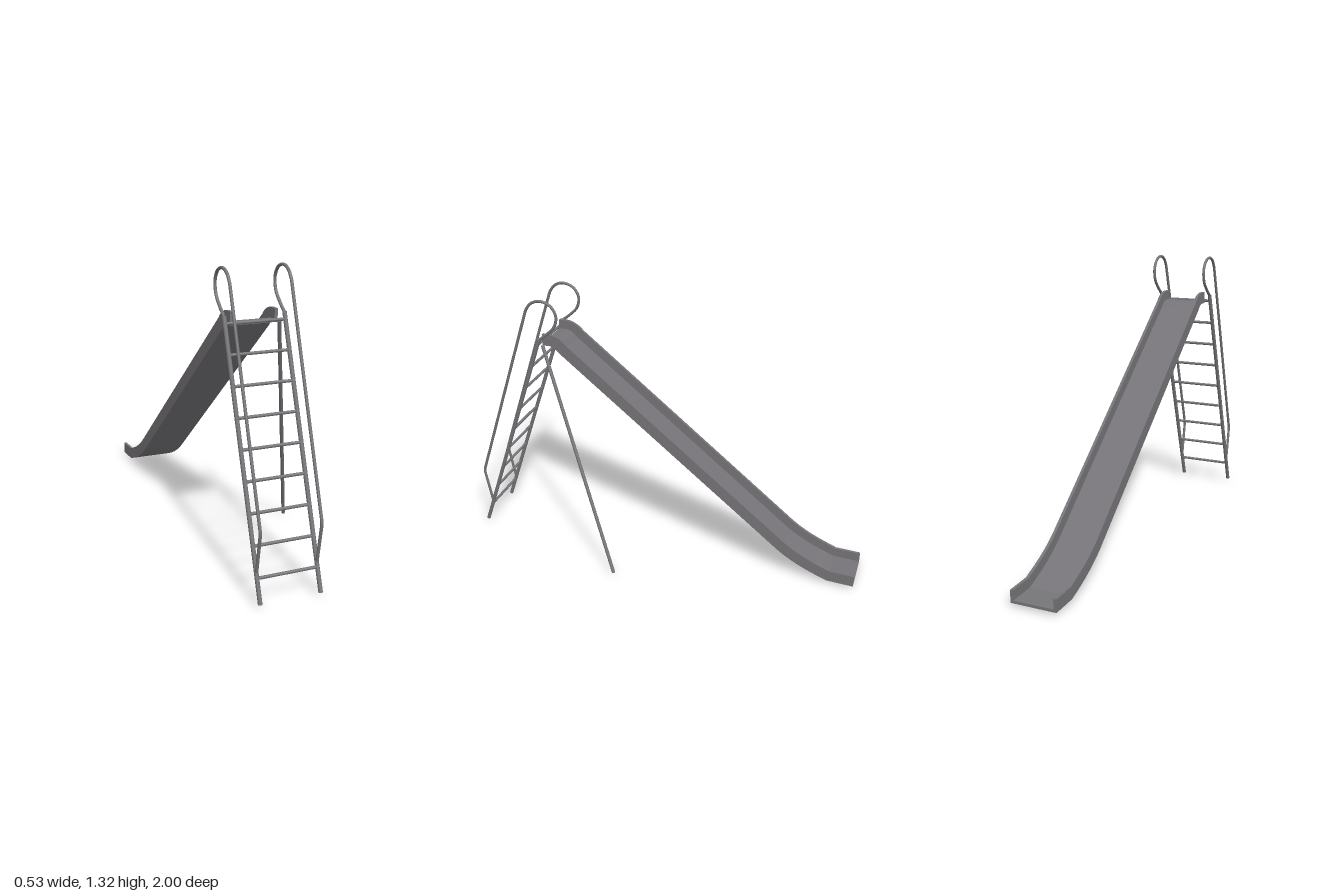
import * as THREE from 'three';

const V = (x, y, z) => new THREE.Vector3(x, y, z);

export function createModel() {
  const model = new THREE.Group();
  model.name = 'playgroundSlide';
  const steel = new THREE.MeshStandardMaterial({ color: 0x767478 });
  steel.name = 'grey steel';

  const add = (name, geometry) => {
    const mesh = new THREE.Mesh(geometry, steel);
    mesh.name = name;
    model.add(mesh);
    return mesh;
  };

  // Straight round bar between two points
  const bar = (name, a, b, r) => {
    const d = b.clone().sub(a);
    const mesh = add(name, new THREE.CylinderGeometry(r, r, d.length(), 12));
    mesh.position.copy(a).add(b).multiplyScalar(0.5);
    mesh.quaternion.setFromUnitVectors(V(0, 1, 0), d.normalize());
  };

  // Underside line of the chute, as (z, y)
  const path = new THREE.Path();
  path.moveTo(0.61, 1.08);
  path.lineTo(0.57, 1.08);
  path.quadraticCurveTo(0.545, 1.075, 0.525, 1.05);
  path.lineTo(-0.6, 0.155);
  path.quadraticCurveTo(-0.7, 0.075, -0.87, 0.018);
  path.lineTo(-1, 0.013);
  const low = path.getPoints(8);

  // Strip of given height along the chute, extruded across x
  const strip = (name, height, x0, x1) => {
    const high = low.map((p, i) => {
      const t = low[Math.min(i + 1, low.length - 1)].clone().sub(low[Math.max(i - 1, 0)]).normalize();
      return new THREE.Vector2(p.x + t.y * height, p.y - t.x * height);
    });
    high[0].x = 0.61;
    high[high.length - 1].x = -1;
    const shape = new THREE.Shape([...low, ...high.reverse()]);
    const geometry = new THREE.ExtrudeGeometry(shape, { depth: x1 - x0, bevelEnabled: false });
    geometry.rotateY(-Math.PI / 2).translate(x1, 0, 0);
    add(name, geometry);
  };
  strip('chuteBed', 0.012, -0.214, -0.026);
  strip('chuteWallRight', 0.058, -0.228, -0.214);
  strip('chuteWallLeft', 0.058, -0.026, -0.012);

  // Ladder rails, each with a looped handrail
  const foot = [0.012, 0.993], head = [1.122, 0.612];
  for (const [side, x] of [['Right', -0.256], ['Left', 0.018]]) {
    bar('ladderRail' + side, V(x, ...foot), V(x, ...head), 0.0095);

    const rail = new THREE.CurvePath();
    const lowBend = V(x, 0.32, 0.987), arcStart = V(x, 1.265, 0.672);
    rail.add(new THREE.LineCurve3(V(x, 0.13, 0.953), V(x, 0.305, 0.985)));
    rail.add(new THREE.QuadraticBezierCurve3(V(x, 0.305, 0.985), lowBend, V(x, 0.335, 0.982)));
    rail.add(new THREE.LineCurve3(V(x, 0.335, 0.982), arcStart));
    rail.add(new THREE.CatmullRomCurve3([
      arcStart, V(x, 1.3, 0.645), V(x, 1.318, 0.6), V(x, 1.302, 0.545),
      V(x, 1.255, 0.516), V(x, 1.2, 0.526), V(x, 1.157, 0.565), V(x, 1.12, 0.612),
    ]));
    add('handrail' + side, new THREE.TubeGeometry(rail, 120, 0.007, 10));
  }

  // Rungs, following the lean of the ladder
  for (let i = 0; i < 9; i++) {
    const y = 0.113 + i * 0.1224;
    const z = foot[1] + (head[1] - foot[1]) * (y - foot[0]) / (head[0] - foot[0]);
    bar('rung' + (i + 1), V(-0.256, y, z), V(0.018, y, z), 0.007);
  }

  // Single splayed support leg
  bar('supportLeg', V(-0.002, 1.085, 0.605), V(0.252, 0.004, 0.163), 0.0085);

  return model;
}
